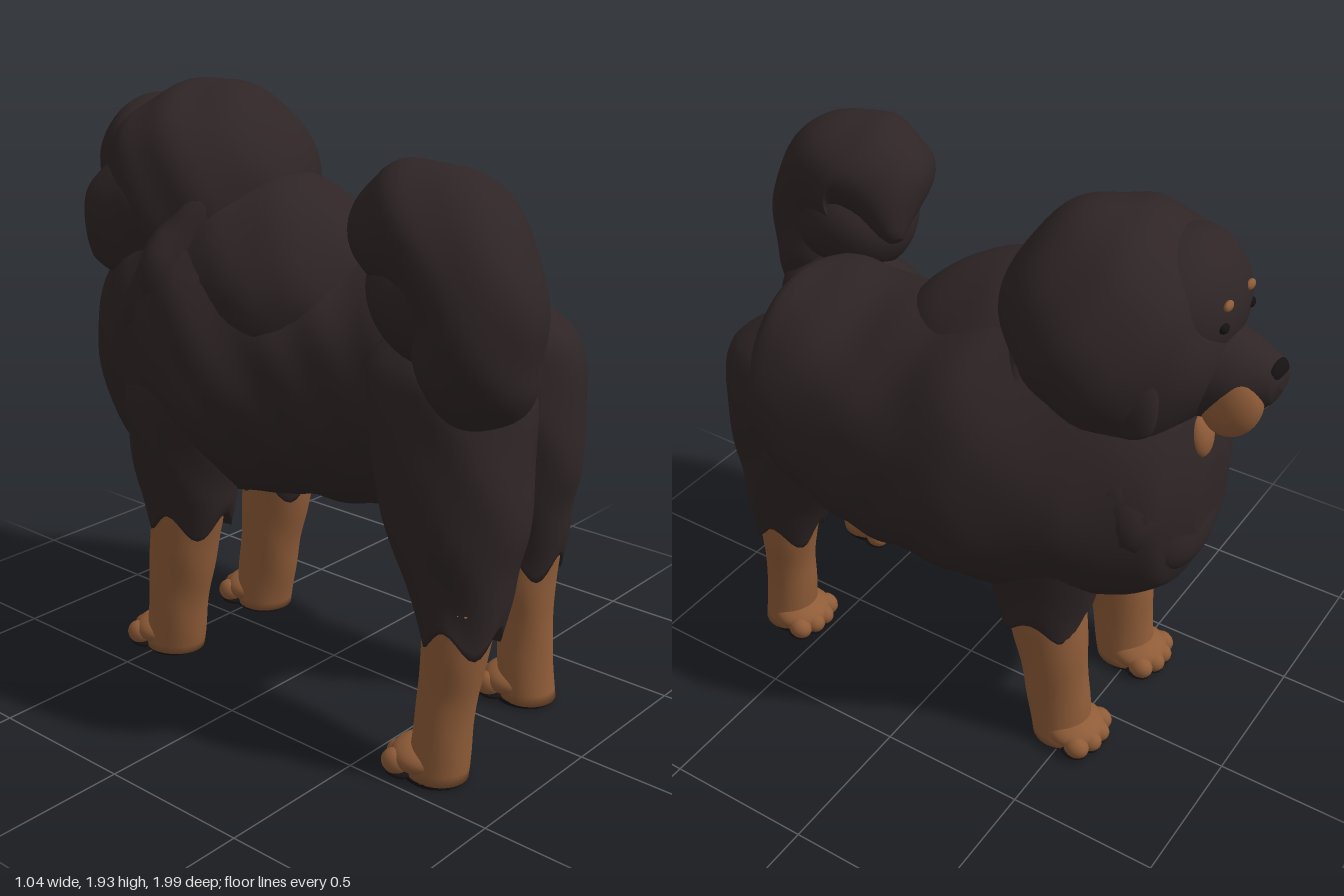
import * as THREE from 'three';
import { mergeVertices } from 'three/addons/utils/BufferGeometryUtils.js';

const mat = (name, color) => new THREE.MeshStandardMaterial({ name, color });
const Y = new THREE.Vector3(0, 1, 0), Z = new THREE.Vector3(0, 0, 1);

// Gentle lumpiness that suggests thick fur
const fur = (p) =>
  Math.sin(13 * p.x + 5 * p.z) * Math.sin(11 * p.y - 6 * p.z) * 0.6 +
  Math.sin(27 * p.z + 19 * p.y + 8 * p.x) * 0.4;

// Loft through sections [x, y, z, sideRadius, otherRadius]; axis fixes the ring plane,
// otherwise rings follow the path. jag makes a ragged first ring.
function loft(sections, { axis = null, lump = 0.01, jag = 0, around = 40, steps = 36 } = {}) {
  const path = new THREE.CatmullRomCurve3(sections.map((s) => new THREE.Vector3(s[0], s[1], s[2])));
  const size = new THREE.CatmullRomCurve3(sections.map((s, i) => new THREE.Vector3(s[3], s[4], i * 0.1)));
  const pos = [], idx = [];
  for (let i = 0; i <= steps; i++) {
    const u = i / steps, c = path.getPoint(u), r = size.getPoint(u);
    const t = axis || path.getTangent(u);
    const side = new THREE.Vector3(1, 0, 0).addScaledVector(t, -t.x).normalize();
    const up = new THREE.Vector3().crossVectors(t, side);
    for (let j = 0; j < around; j++) {
      const a = (j / around) * Math.PI * 2;
      const d = side.clone().multiplyScalar(Math.cos(a) * r.x).addScaledVector(up, Math.sin(a) * r.y);
      const p = c.clone().add(d);
      p.addScaledVector(d.normalize(), lump * fur(p));
      p.addScaledVector(t, jag * Math.max(0, 1 - u * 5) * Math.sin(a * 4 + 1));
      pos.push(p.x, p.y, p.z);
    }
  }
  for (let i = 0; i < steps; i++) {
    for (let j = 0; j < around; j++) {
      const a = i * around + j, b = i * around + ((j + 1) % around);
      idx.push(a, b, b + around, a, b + around, a + around);
    }
  }
  // Close both ends
  const first = pos.length / 3, end = steps * around;
  pos.push(...sections[0].slice(0, 3), ...sections[sections.length - 1].slice(0, 3));
  for (let j = 0; j < around; j++) {
    const k = (j + 1) % around;
    idx.push(first, k, j, first + 1, end + j, end + k);
  }
  const g = new THREE.BufferGeometry();
  g.setAttribute('position', new THREE.Float32BufferAttribute(pos, 3));
  g.setIndex(idx);
  g.computeVertexNormals();
  return g;
}

// Furry ellipsoid, optionally tilted about x
function blob(c, r, lump = 0, tilt = 0, seg = 36) {
  let g = new THREE.SphereGeometry(1, seg, Math.round(seg * 0.7));
  g.deleteAttribute('uv');
  g.deleteAttribute('normal');
  g = mergeVertices(g, 1e-4);
  g.scale(...r).rotateX(tilt).translate(...c);
  const pa = g.attributes.position, p = new THREE.Vector3(), o = new THREE.Vector3(...c);
  for (let i = 0; i < pa.count; i++) {
    p.fromBufferAttribute(pa, i);
    const d = p.clone().sub(o).normalize();
    p.addScaledVector(d, lump * fur(p));
    pa.setXYZ(i, p.x, p.y, p.z);
  }
  g.computeVertexNormals();
  return g;
}

// Leg sections: centres run straight from [x, z] to [x, z], profile rows are [y, rx, rz]
function limb(from, to, profile) {
  const y0 = profile[0][0], span = profile[profile.length - 1][0] - y0;
  return profile.map(([y, rx, rz]) => {
    const k = (y - y0) / span;
    return [from[0] + (to[0] - from[0]) * k, y, from[1] + (to[1] - from[1]) * k, rx, rz];
  });
}

export function createModel() {
  const root = new THREE.Group();
  root.name = 'dog';
  const coat = mat('dark coat', 0x2f2526);
  const tan = mat('tan', 0x8f5c38);
  const black = mat('black', 0x151112);
  const add = (name, geo, m, parent = root) => {
    const mesh = new THREE.Mesh(geo, m);
    mesh.name = name;
    parent.add(mesh);
  };

  // Torso, chest first
  add('body', loft([
    [-0.07, 1.03, -0.83, 0.1, 0.14],
    [-0.07, 1.05, -0.76, 0.27, 0.36],
    [-0.06, 1.1, -0.53, 0.42, 0.52],
    [0, 1.1, -0.24, 0.5, 0.53],
    [0.06, 1.06, 0, 0.44, 0.47],
    [0.075, 1.04, 0.2, 0.415, 0.43],
    [0.05, 1.1, 0.58, 0.37, 0.35],
    [0.03, 1.15, 0.74, 0.05, 0.05],
  ], { axis: Z, around: 64, steps: 60 }), coat);

  // Neck and overlapping folds of the mane
  add('neck', blob([-0.03, 1.3, -0.25], [0.39, 0.36, 0.48], 0.012), coat);
  for (let i = 0; i < 3; i++) {
    const y = 1.25 - i * 0.05, z = -0.42 - i * 0.105;
    add('maneFold', blob([-0.06, y, z], [0.43 - i * 0.045, 0.5 - i * 0.05, 0.15], 0.022, 0.35), coat);
  }
  add('chestTuft', blob([-0.07, 0.85, -0.63], [0.24, 0.22, 0.15], 0.02), coat);

  // Head
  const head = new THREE.Group();
  head.name = 'head';
  root.add(head);
  add('skull', blob([-0.05, 1.55, -0.49], [0.375, 0.38, 0.35], 0.012, 0, 56), coat, head);
  add('forehead', blob([-0.09, 1.66, -0.66], [0.24, 0.22, 0.19], 0.004), coat, head);
  add('muzzle', loft([
    [-0.09, 1.5, -1, 0.03, 0.025],
    [-0.09, 1.49, -0.98, 0.065, 0.065],
    [-0.09, 1.47, -0.88, 0.12, 0.13],
    [-0.09, 1.48, -0.7, 0.17, 0.18],
  ], { axis: Z, lump: 0.003 }), coat, head);
  add('nose', blob([-0.09, 1.52, -0.97], [0.055, 0.04, 0.03], 0, 0, 20), black, head);
  add('mouth', blob([-0.09, 1.33, -0.84], [0.08, 0.05, 0.07], 0, 0, 20), black, head);
  for (const s of [-1, 1]) {
    const x = (d) => -0.09 + s * d;
    add('cheek', blob([x(0.065), 1.42, -0.87], [0.065, 0.115, 0.095], 0.006, -0.25), tan, head);
    add('lowerLip', blob([x(0.065), 1.27, -0.79], [0.05, 0.075, 0.035], 0.005, 0.2), tan, head);
    add('browSpot', blob([x(0.07), 1.725, -0.835], [0.022, 0.016, 0.012], 0, 0, 16), tan, head);
    add('eye', blob([x(0.085), 1.66, -0.835], [0.02, 0.016, 0.014], 0, 0, 16), black, head);
    add('ear', loft([
      [x(0.24), 1.3, -0.6, 0.02, 0.03],
      [x(0.27), 1.37, -0.61, 0.055, 0.12],
      [x(0.27), 1.58, -0.57, 0.07, 0.17],
      [x(0.16), 1.81, -0.52, 0.01, 0.02],
    ], { axis: Y, lump: 0.008 }), coat, head);
  }

  // Tail curled forward over the right hip
  add('tail', loft([
    [-0.25, 1.08, 0.77, 0.1, 0.1],
    [-0.31, 1.28, 0.8, 0.19, 0.16],
    [-0.32, 1.46, 0.79, 0.2, 0.19],
    [-0.31, 1.6, 0.68, 0.21, 0.2],
    [-0.28, 1.62, 0.54, 0.2, 0.18],
    [-0.19, 1.47, 0.41, 0.03, 0.03],
  ], { lump: 0.014, steps: 48 }), coat);
  add('tailCurl', blob([-0.3, 1.46, 0.66], [0.21, 0.2, 0.22], 0.012), coat);

  // Legs: tan lower leg, furry upper leg with a ragged lower edge, paw, toes and pads
  function addLeg(name, foot, joint, top, lower, upper) {
    const leg = new THREE.Group();
    leg.name = name;
    root.add(leg);
    const [x, z] = foot;
    add('lowerLeg', loft(limb(foot, joint, lower), { axis: Y, lump: 0.005, around: 28, steps: 24 }), tan, leg);
    add('upperLeg', loft(limb(joint, top, upper), { axis: Y, jag: 0.04 }), coat, leg);
    add('paw', blob([x, 0.06, z - 0.05], [0.105, 0.055, 0.1], 0, 0, 28), tan, leg);
    for (let i = 0; i < 4; i++) {
      const d = i - 1.5, toeZ = z - 0.13 + Math.abs(d) * 0.02;
      add('toe', blob([x + d * 0.052, 0.045, toeZ], [0.036, 0.04, 0.045], 0, 0, 16), tan, leg);
      add('toePad', blob([x + d * 0.05, 0.012, toeZ + 0.01], [0.032, 0.012, 0.045], 0, 0, 14), black, leg);
    }
    const pad = new THREE.CylinderGeometry(0.088, 0.088, 0.012, 24).scale(1, 1, 1.1).translate(x, 0.006, z - 0.01);
    add('footPad', pad, black, leg);
  }
  const shin = [[0.01, 0.09, 0.095], [0.28, 0.083, 0.09], [0.42, 0.095, 0.105], [0.58, 0.105, 0.125]];
  const thigh = [[0.48, 0.112, 0.125], [0.62, 0.138, 0.165], [0.8, 0.175, 0.23],
    [1.02, 0.2, 0.265], [1.22, 0.2, 0.25], [1.4, 0.03, 0.04]];
  addLeg('leftHindLeg', [0.2, 0.66], [0.21, 0.62], [0.2, 0.48], shin, thigh);
  addLeg('rightHindLeg', [-0.37, 0.73], [-0.34, 0.78], [-0.21, 0.6], shin, thigh);
  const foreleg = [[0.01, 0.095, 0.1], [0.23, 0.095, 0.115], [0.4, 0.105, 0.13], [0.6, 0.115, 0.14]];
  const shoulder = [[0.51, 0.125, 0.145], [0.62, 0.145, 0.175], [0.8, 0.18, 0.21],
    [1, 0.2, 0.23], [1.2, 0.03, 0.04]];
  for (const [name, x] of [['leftFrontLeg', 0.15], ['rightFrontLeg', -0.3]]) {
    addLeg(name, [x, -0.47], [x, -0.385], [x, -0.36], foreleg, shoulder);
  }
  return root;
}
